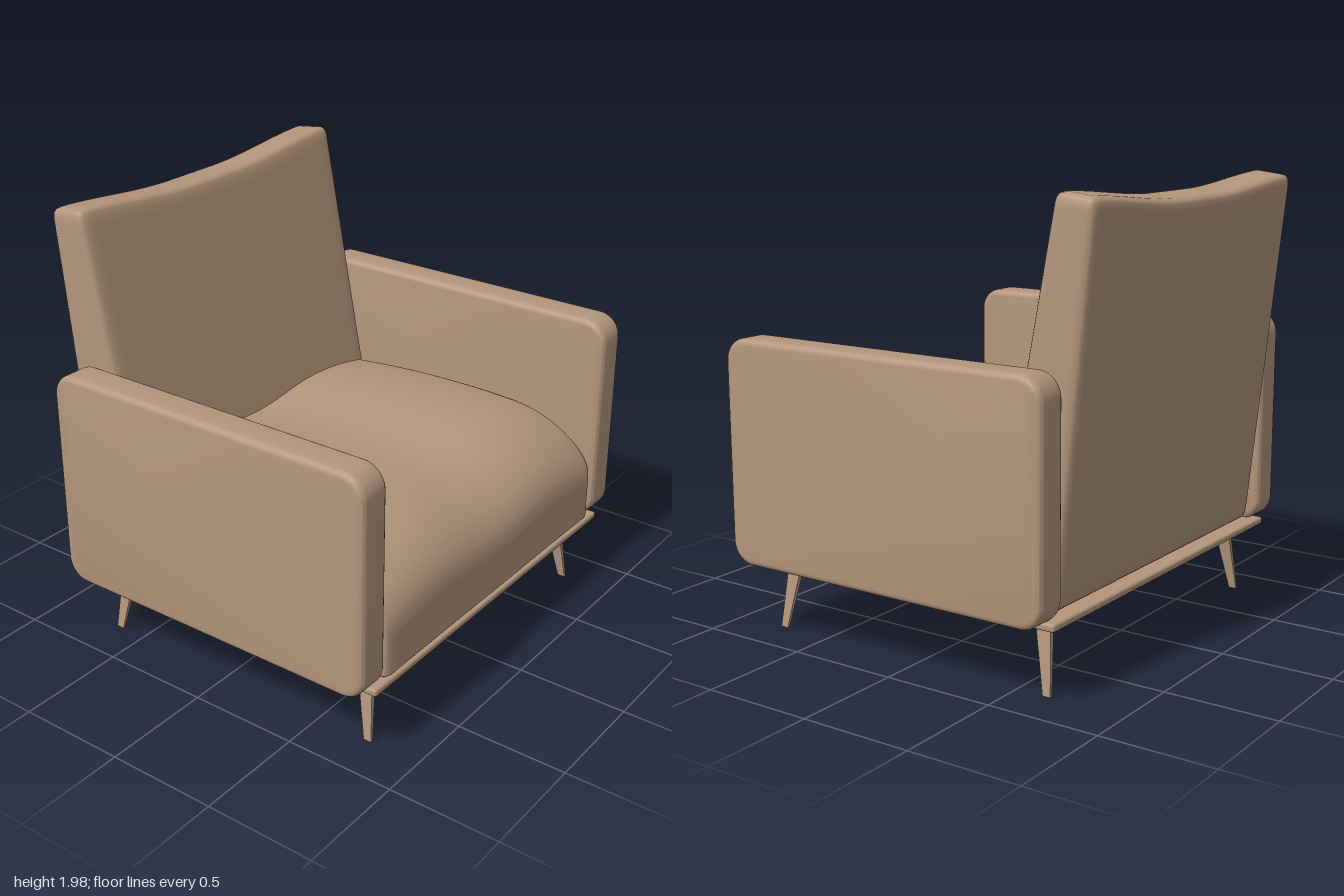
import * as THREE from 'three';
import { mergeVertices, toCreasedNormals } from 'three/addons/utils/BufferGeometryUtils.js';
import { RoundedBoxGeometry } from 'three/addons/geometries/RoundedBoxGeometry.js';

const clamp = THREE.MathUtils.clamp;
const smoothstep = THREE.MathUtils.smoothstep;

// Finely divided rounded block, standing on y = 0, then bent by a rule
function softBlock(w, h, d, r, warp) {
  const n = 28;
  let g = new THREE.BoxGeometry(2, 2, 2, n, n, n);
  g.deleteAttribute('uv');
  g.deleteAttribute('normal');
  g = mergeVertices(g, 1e-5);
  const half = new THREE.Vector3(w / 2, h / 2, d / 2);
  const inner = half.clone().subScalar(r);
  const p = new THREE.Vector3(), c = new THREE.Vector3(), pos = g.attributes.position;
  for (let i = 0; i < pos.count; i++) {
    p.fromBufferAttribute(pos, i);
    // crowd the divisions toward the edges
    for (const a of ['x', 'y', 'z']) {
      p[a] = Math.sin(p[a] * Math.PI / 2) * half[a];
      c[a] = clamp(p[a], -inner[a], inner[a]);
    }
    p.sub(c).setLength(r).add(c);
    p.y += h / 2;
    warp(p);
    pos.setXYZ(i, p.x, p.y, p.z);
  }
  g.computeVertexNormals();
  return g;
}

// Seat: two shallow humps across, a crown along z and a big rolled front edge
function seatGeometry() {
  const bottom = 0.345, h = 0.565, back = -0.6, front = 0.855;
  return softBlock(1.66, h, front - back, 0.045, p => {
    p.z += (front + back) / 2;
    const ax = Math.abs(p.x);
    const across = ax < 0.4
      ? 0.895 - 0.015 * Math.cos(2 * Math.PI * ax / 0.8)
      : 0.91 - 0.05 * ((ax - 0.4) / 0.4) ** 2;
    const t = clamp((p.z - 0.42) / 0.435, 0, 1);
    const roll = 0.27 * (1 - Math.sqrt(1 - t * t));
    const crown = 0.04 * ((p.z - 0.15) / 0.65) ** 2;
    p.y = bottom + p.y / h * (across - roll - crown - bottom);
  });
}

// Backrest: leaning wedge whose top edge dips in the middle
function backGeometry() {
  const h = 1.64, d = 0.2;
  return softBlock(1.66, h, d, 0.04, p => {
    const k = p.z / d + 0.5;
    const dip = 0.047 * (1 - smoothstep(Math.abs(p.x), 0.15, 0.85));
    p.y = 0.345 + p.y - (dip + 0.022 * (1 - k)) * (p.y / h);
    const zFront = -0.55 - 0.197 * (p.y - 1.32);
    const zBack = -0.74 - 0.104 * (p.y - 0.78);
    p.z = zBack + (zFront - zBack) * k;
  });
}

// Arm: rounded side outline with a soft bevel, centred on its own origin
function armGeometry() {
  const b = 0.028, w = 1.6 / 2 - b, h = 0.99 / 2 - b, r = 0.075;
  const s = new THREE.Shape();
  s.moveTo(-w + r, -h);
  s.lineTo(w - r, -h);
  s.absarc(w - r, -h + r, r, -Math.PI / 2, 0);
  s.absarc(w - r, h - r, r, 0, Math.PI / 2);
  s.absarc(-w + r, h - r, r, Math.PI / 2, Math.PI);
  s.absarc(-w + r, -h + r, r, Math.PI, Math.PI * 1.5);
  const depth = 0.16 - 2 * b;
  const g = new THREE.ExtrudeGeometry(s, {
    depth, bevelEnabled: true, bevelSize: b, bevelThickness: b, bevelSegments: 5, curveSegments: 10,
  });
  g.translate(0, 0, -depth / 2);
  g.rotateY(Math.PI / 2);
  return toCreasedNormals(g, 0.7);
}

// Leg: thin tapered blade splayed outward; sx and sz choose the corner
function legGeometry(sx, sz) {
  const g = new THREE.BoxGeometry(1, 1, 1);
  const pos = g.attributes.position;
  for (let i = 0; i < pos.count; i++) {
    const top = pos.getY(i) > 0;
    const x = sx * (top ? 0.752 : 0.8) + pos.getX(i) * (top ? 0.026 : 0.012);
    const z = 0.055 + sz * (top ? 0.652 : 0.697) + pos.getZ(i) * (top ? 0.075 : 0.037);
    pos.setXYZ(i, x, top ? 0.32 : 0, z);
  }
  g.computeVertexNormals();
  return g;
}

export function createModel() {
  const model = new THREE.Group();
  model.name = 'armchair';
  const tan = new THREE.MeshStandardMaterial({ color: 0xb3967c });
  tan.name = 'warm tan';
  const add = (name, geometry, x = 0, y = 0, z = 0) => {
    const mesh = new THREE.Mesh(geometry, tan);
    mesh.name = name;
    mesh.position.set(x, y, z);
    model.add(mesh);
  };

  add('seatCushion', seatGeometry());
  add('backrest', backGeometry());
  add('basePlate', new RoundedBoxGeometry(1.8, 0.034, 1.595, 3, 0.012), 0, 0.327, 0.06);

  for (const [side, sx] of [['left', 1], ['right', -1]]) {
    add(side + 'Arm', armGeometry(), sx * 0.918, 0.825, 0.06);
    add(side + 'FrontLeg', legGeometry(sx, 1));
    add(side + 'BackLeg', legGeometry(sx, -1));
  }
  return model;
}
